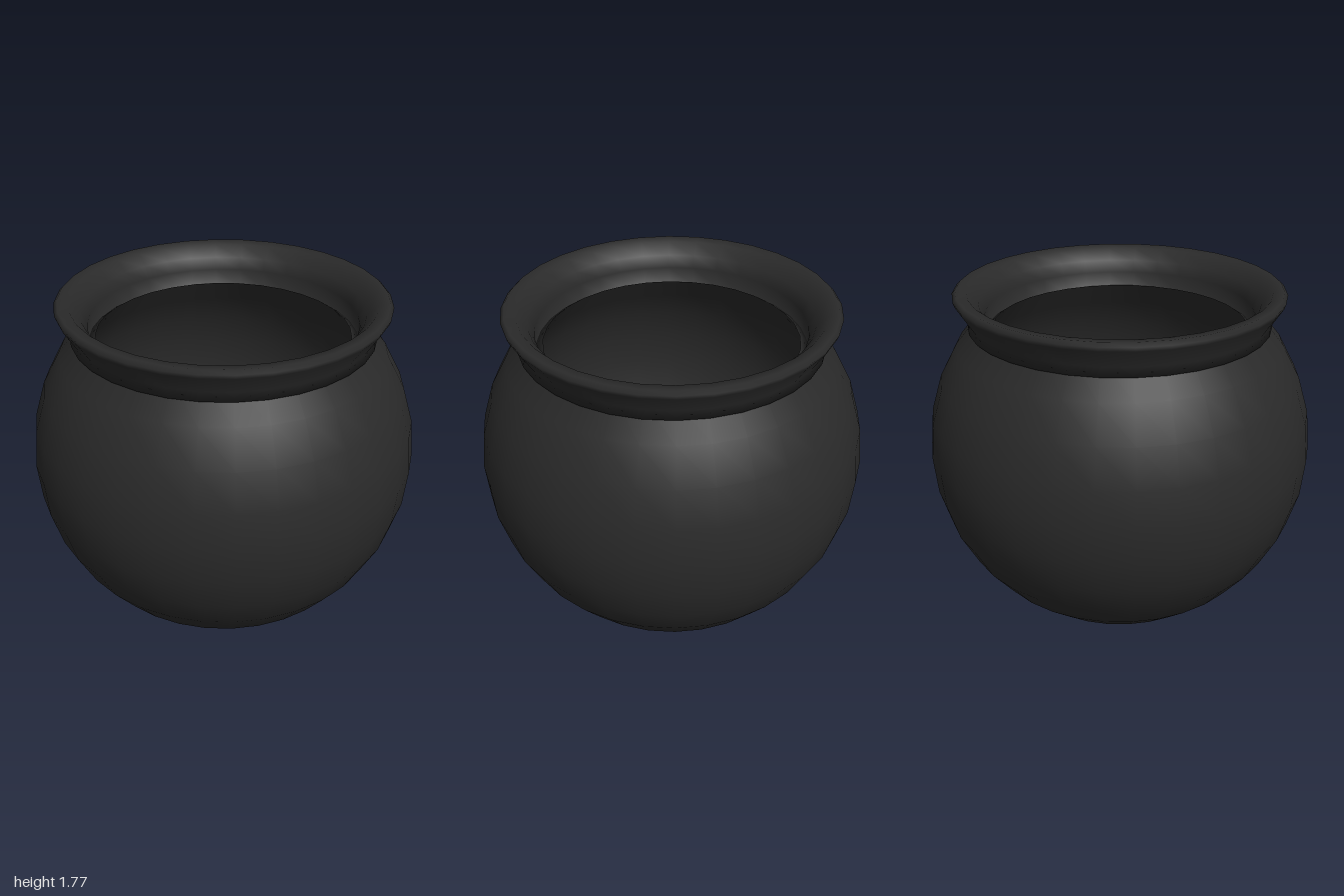
import * as THREE from 'three';

const SIDES = 32;
const CENTRE = 0.94; // height of the sphere the belly is cut from

// Points on a meridian of the belly sphere; step counts 1/16ths of a half turn from the bottom
function arc(radius, from, to) {
  const points = [];
  const dir = Math.sign(to - from);
  for (let i = from; i !== to + dir; i += dir) {
    const a = (i * Math.PI) / 16;
    points.push(new THREE.Vector2(radius * Math.sin(a), CENTRE - radius * Math.cos(a)));
  }
  return points;
}

const pts = (list) => list.map(([r, y]) => new THREE.Vector2(r, y));

export function createModel() {
  const group = new THREE.Group();
  group.name = 'pot';

  const profile = [
    ...pts([[0, 0], [0.2, 0]]), // flattened base
    ...arc(1, 2, 12.0 + 1), // outer belly
    ...pts([
      [0.77, 1.59], [0.77, 1.64], [0.83, 1.735], [0.838, 1.757], [0.82, 1.775], // neck and flared lip
      [0.765, 1.768], [0.71, 1.71], [0.68, 1.65], [0.68, 1.56], // inside of the mouth
    ]),
    ...arc(0.91, 12, 1), // inner belly
    ...pts([[0, 0.04]]), // inner floor
  ];
  // the arc step just under the neck lies above it, so drop it
  profile.splice(2 + 11, 1);
  profile[profile.length - 1].y = CENTRE - 0.91 + 0.02;

  const pot = new THREE.Mesh(
    new THREE.LatheGeometry(profile, SIDES),
    new THREE.MeshStandardMaterial({ color: 0x2a2a2a })
  );
  pot.name = 'potBody';
  group.add(pot);
  return group;
}
